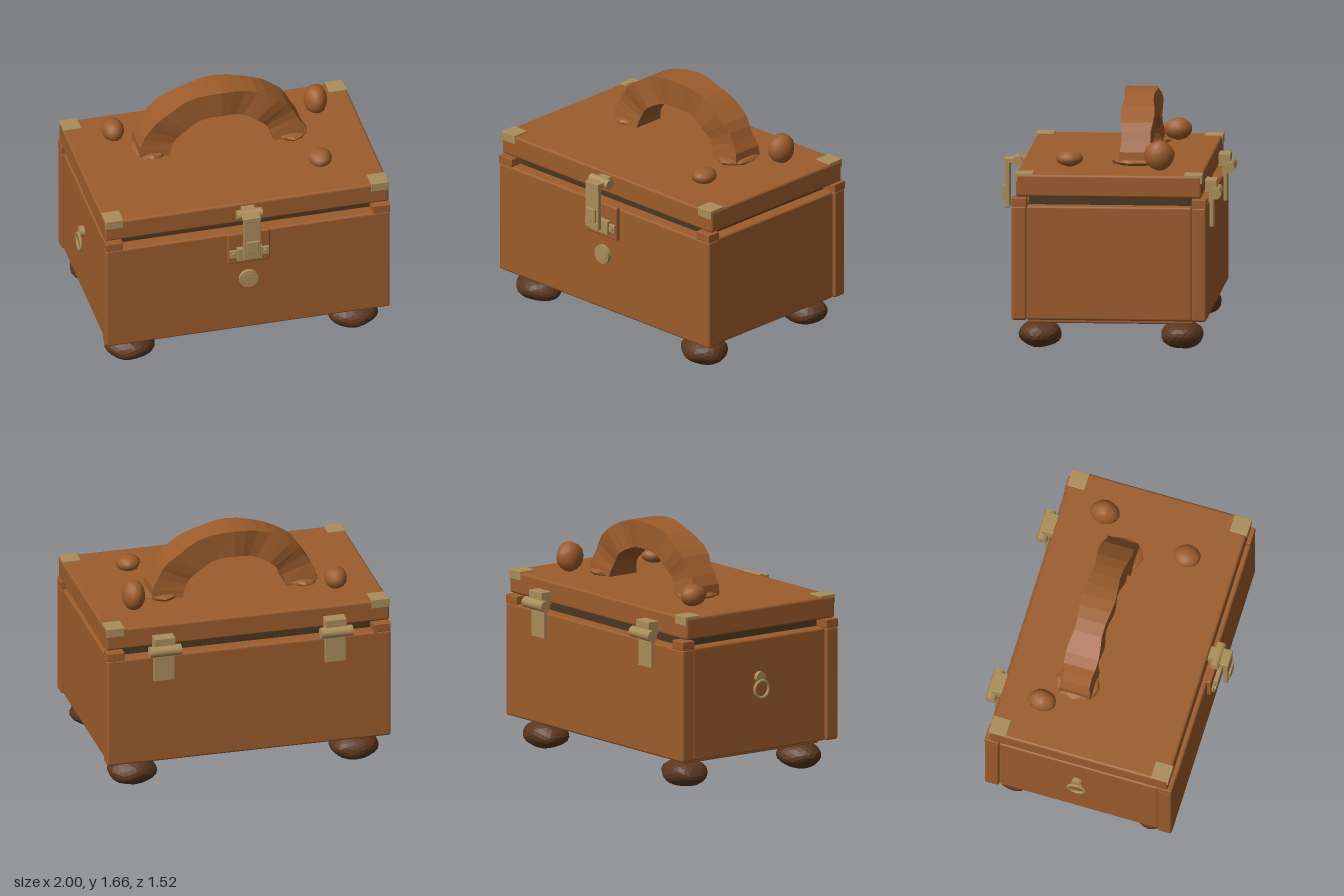
import * as THREE from 'three';
import { RoundedBoxGeometry } from 'three/addons/geometries/RoundedBoxGeometry.js';
import { mergeVertices } from 'three/addons/utils/BufferGeometryUtils.js';

const mat = (name, color, extra = {}) => {
  const m = new THREE.MeshStandardMaterial({ color, ...extra });
  m.name = name;
  return m;
};

export function createModel() {
  const root = new THREE.Group();
  root.name = 'travelChest';
  const leather = mat('leather', 0x9c5c2c);
  const darkLeather = mat('darkLeather', 0x5a371f);
  const brass = mat('brass', 0xab8d5a);
  const lining = mat('lining', 0x4a3822);
  const CX = 0.015; // chest centre; the side ring shifts it off zero

  const add = (name, geo, material, parent = root) => {
    const mesh = new THREE.Mesh(geo, material);
    mesh.name = name;
    parent.add(mesh);
    return mesh;
  };
  // Box given by its extents, with an optional softened edge
  const box = (name, material, x0, x1, y0, y1, z0, z1, r = 0, parent = root) => {
    const s = [x1 - x0, y1 - y0, z1 - z0];
    const geo = r ? new RoundedBoxGeometry(...s, 2, r) : new THREE.BoxGeometry(...s);
    const mesh = add(name, geo, material, parent);
    mesh.position.set((x0 + x1) / 2, (y0 + y1) / 2, (z0 + z1) / 2);
    return mesh;
  };
  const cylinder = (name, material, r, len, axis, x, y, z, parent = root) => {
    const geo = new THREE.CylinderGeometry(r, r, len, 20);
    if (axis === 'x') geo.rotateZ(Math.PI / 2);
    if (axis === 'z') geo.rotateX(Math.PI / 2);
    const mesh = add(name, geo, material, parent);
    mesh.position.set(x, y, z);
    return mesh;
  };
  // Lumpy ball: sphere points pushed in and out by a smooth wave
  const blob = (name, material, c, r, seed, lump, detail, smooth) => {
    let geo = new THREE.IcosahedronGeometry(1, detail);
    const p = geo.attributes.position;
    const v = new THREE.Vector3();
    for (let i = 0; i < p.count; i++) {
      v.fromBufferAttribute(p, i);
      const w = Math.sin(v.x * 5 + seed) * Math.cos(v.y * 4 - seed * 2) + Math.sin(v.z * 6 + seed * 3) * 0.6;
      v.multiplyScalar(1 + lump * w);
      p.setXYZ(i, v.x * r[0], v.y * r[1], v.z * r[2]);
    }
    if (smooth) {
      geo.deleteAttribute('normal');
      geo.deleteAttribute('uv');
      geo = mergeVertices(geo);
    }
    geo.computeVertexNormals();
    add(name, geo, material).position.set(...c);
  };

  // Chest body: base, four walls, corner caps and inner lining
  box('base', leather, -0.88, 0.91, 0.19, 0.26, -0.58, 0.53, 0.01);
  box('frontWall', leather, -0.97, 1.0, 0.22, 0.995, 0.53, 0.63, 0.016);
  box('backWall', leather, -0.97, 1.0, 0.22, 0.995, -0.68, -0.58, 0.016);
  box('rightWall', leather, -0.955, -0.86, 0.22, 0.995, -0.582, 0.532, 0.016);
  box('leftWall', leather, 0.89, 0.985, 0.22, 0.995, -0.582, 0.532, 0.016);
  box('innerLining', lining, -0.87, 0.9, 0.24, 1.045, -0.57, 0.52);
  for (const s of [-1, 1]) {
    const x = CX + s * 0.925;
    box('frontCornerCap', leather, x - 0.06, x + 0.06, 0.99, 1.05, 0.53, 0.63, 0.006);
    box('backCornerCap', leather, x - 0.06, x + 0.06, 0.99, 1.05, -0.68, -0.58, 0.006);
  }

  // Lid with brass corners
  box('lid', leather, -0.97, 1.0, 1.057, 1.21, -0.648, 0.603, 0.018);
  for (const s of [-1, 1]) {
    const x = CX + s * 0.92;
    box('frontLidCorner', brass, x - 0.062, x + 0.062, 1.155, 1.219, 0.485, 0.608, 0.004);
    box('backLidCorner', brass, x - 0.062, x + 0.062, 1.155, 1.219, -0.653, -0.53, 0.004);
  }

  // Arched handle: rectangular sections swept round a half ellipse
  const N = 20;
  const pos = [];
  const idx = [];
  for (let i = 0; i <= N; i++) {
    const a = Math.PI * (0.025 + 0.95 * i / N);
    const wob = 1 + 0.014 * Math.sin(i * 2.1);
    const hz = 0.105 + 0.01 * Math.cos(i * 1.25);
    const c = Math.cos(a), s = Math.sin(a);
    const out = [0.01 + 0.575 * wob * c, 1.2 + 0.465 * s];
    const inn = [0.01 + 0.36 * c, 1.2 + 0.28 * s];
    pos.push(...out, -0.172 + hz, ...out, -0.172 - hz, ...inn, -0.172 - hz, ...inn, -0.172 + hz);
    if (i === N) break;
    for (let k = 0; k < 4; k++) {
      const p = i * 4 + k, q = i * 4 + (k + 1) % 4;
      idx.push(p, q, q + 4, p, q + 4, p + 4);
    }
  }
  const e = N * 4;
  idx.push(0, 2, 1, 0, 3, 2, e, e + 1, e + 2, e, e + 2, e + 3);
  let arch = new THREE.BufferGeometry();
  arch.setAttribute('position', new THREE.Float32BufferAttribute(pos, 3));
  arch.setIndex(idx);
  arch = arch.toNonIndexed();
  arch.computeVertexNormals();
  add('handle', arch, leather);
  blob('handleMount', leather, [-0.47, 1.235, -0.18], [0.12, 0.032, 0.16], 1, 0.04, 1, false);
  blob('handleMount', leather, [0.5, 1.235, -0.165], [0.12, 0.032, 0.165], 2, 0.04, 1, false);

  // Rounded studs on the lid
  blob('lidStud', leather, [-0.67, 1.285, -0.365], [0.075, 0.076, 0.095], 3, 0.03, 2, true);
  blob('lidStud', leather, [0.73, 1.31, -0.345], [0.078, 0.104, 0.1], 5, 0.03, 2, true);
  blob('lidStud', leather, [0.605, 1.265, 0.27], [0.08, 0.055, 0.09], 7, 0.03, 2, true);

  // Lumpy feet
  [[-0.76, 0.455], [0.785, 0.455], [-0.76, -0.505], [0.785, -0.505]].forEach(([x, z], i) =>
    blob('foot', darkLeather, [x, 0.105, z], [0.17, 0.095, 0.145], i * 1.7 + 0.5, 0.035, 3, false));

  // Front latch
  const latch = new THREE.Group();
  latch.name = 'latch';
  root.add(latch);
  box('latchBacking', leather, -0.133, 0.16, 0.765, 1.005, 0.62, 0.657, 0.01, latch);
  box('latchTabs', brass, -0.122, 0.152, 0.82, 0.88, 0.65, 0.672, 0.005, latch);
  box('latchMount', brass, -0.072, 0.102, 0.8, 0.9, 0.65, 0.687, 0.005, latch);
  for (const s of [-1, 1]) cylinder('latchScrew', brass, 0.017, 0.014, 'z', CX + s * 0.11, 0.85, 0.676, latch);
  cylinder('latchPivot', brass, 0.033, 0.175, 'x', CX, 1.163, 0.661, latch);
  box('latchLidTab', brass, -0.03, 0.06, 1.13, 1.19, 0.6, 0.65, 0, latch);
  box('latchArm', brass, -0.045, 0.075, 1.145, 1.18, 0.665, 0.75, 0.005, latch);
  box('latchStrap', brass, -0.045, 0.075, 0.845, 1.175, 0.715, 0.748, 0.005, latch);
  box('latchButton', brass, -0.027, 0.057, 0.9, 0.995, 0.74, 0.762, 0.004, latch);

  // Round lock below the latch
  cylinder('lockRim', brass, 0.066, 0.03, 'z', CX, 0.625, 0.64);
  cylinder('lockFace', brass, 0.05, 0.01, 'z', CX, 0.625, 0.655);

  // Back hinges
  for (const x of [-0.58, 0.61]) {
    const hinge = new THREE.Group();
    hinge.name = 'hinge';
    root.add(hinge);
    cylinder('hingeBarrel', brass, 0.038, 0.22, 'x', x, 1.05, -0.722, hinge);
    box('hingeUpperLeaf', brass, x - 0.072, x + 0.072, 1.05, 1.14, -0.728, -0.64, 0.004, hinge);
    box('hingeLowerLeaf', brass, x - 0.072, x + 0.072, 0.82, 1.05, -0.706, -0.675, 0.004, hinge);
  }

  // Pull ring on the right side
  cylinder('ringMount', brass, 0.038, 0.035, 'x', -0.968, 0.73, -0.03);
  const ring = add('pullRing', new THREE.TorusGeometry(0.058, 0.011, 8, 24).rotateY(Math.PI / 2), brass);
  ring.position.set(-0.989, 0.65, -0.03);

  return root;
}
